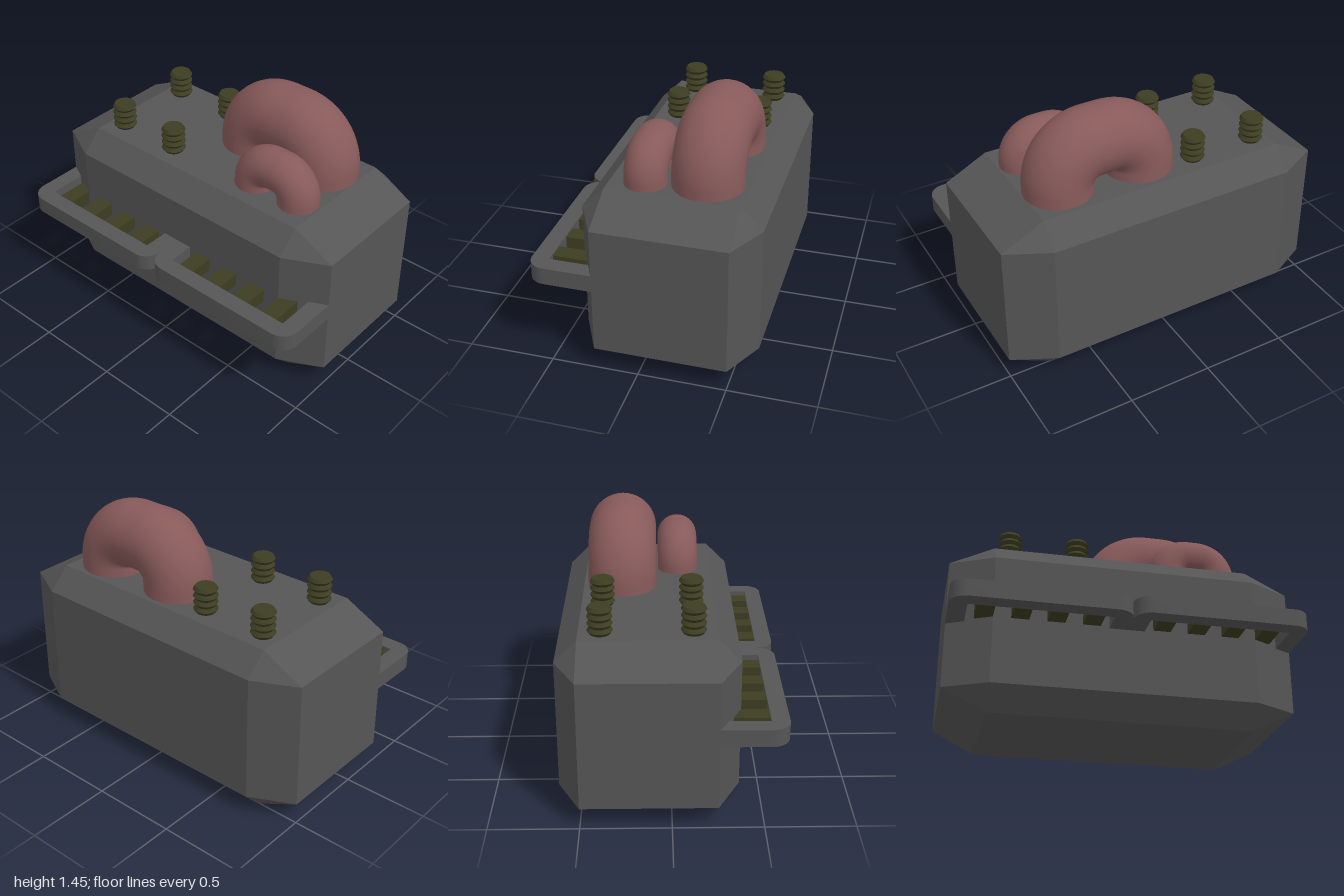
import * as THREE from 'three';
import { ConvexGeometry } from 'three/addons/geometries/ConvexGeometry.js';
import { toCreasedNormals } from 'three/addons/utils/BufferGeometryUtils.js';

const metal = new THREE.MeshStandardMaterial({ color: 0x555555 });
const olive = new THREE.MeshStandardMaterial({ color: 0x3d3d22 });
const rust = new THREE.MeshStandardMaterial({ color: 0x885a5a });

function add(parent, name, geometry, material, x = 0, y = 0, z = 0) {
  const mesh = new THREE.Mesh(geometry, material);
  mesh.name = name;
  mesh.position.set(x, y, z);
  parent.add(mesh);
  return mesh;
}

// Box with every edge bevelled: three points around each corner
function bevelledBody() {
  const points = [];
  for (const sx of [-1, 1]) for (const sy of [-1, 1]) for (const sz of [-1, 1]) {
    points.push(
      new THREE.Vector3(sx, sy * 0.375, sz * 0.375),
      new THREE.Vector3(sx * 0.75, sy * 0.5, sz * 0.375),
      new THREE.Vector3(sx * 0.75, sy * 0.375, sz * 0.5));
  }
  return new ConvexGeometry(points);
}

// U-shaped shelf frame, open towards the body, with rounded front corners
function frameGeometry() {
  const back = 0.2, front = 0.625, r = 0.1;
  const s = new THREE.Shape();
  s.moveTo(-0.5, back);
  s.lineTo(-0.4, back);
  s.lineTo(-0.4, front - 0.1);
  s.lineTo(0.4, front - 0.1);
  s.lineTo(0.4, back);
  s.lineTo(0.5, back);
  s.lineTo(0.5, front - r);
  s.absarc(0.5 - r, front - r, r, 0, Math.PI / 2, false);
  s.lineTo(-0.5 + r, front);
  s.absarc(-0.5 + r, front - r, r, Math.PI / 2, Math.PI, false);
  s.closePath();
  const g = new THREE.ExtrudeGeometry(s, { depth: 0.1, bevelEnabled: false, curveSegments: 10 });
  g.rotateX(Math.PI / 2);
  return toCreasedNormals(g, 0.5);
}

// Threaded stud with zigzag ridges
function studGeometry() {
  const profile = [new THREE.Vector2(0.055, -0.02)];
  for (let i = 0; i < 4; i++) {
    profile.push(new THREE.Vector2(0.055, i * 0.04), new THREE.Vector2(0.07, i * 0.04 + 0.02));
  }
  profile.push(new THREE.Vector2(0.058, 0.16), new THREE.Vector2(0, 0.16));
  return toCreasedNormals(new THREE.LatheGeometry(profile, 20), 0.6);
}

// Pipe loop: two legs, two quarter bends and a short straight top
function pipeLoop(r, legX, legTop) {
  const loop = new THREE.Group();
  const flat = legX - r, legHeight = legTop + 0.05;
  for (const side of [-1, 1]) {
    const leg = new THREE.CylinderGeometry(r, r, legHeight, 40, 1, true);
    add(loop, 'pipeLeg', leg, rust, side * legX, legTop - legHeight / 2, 0);
    const bend = add(loop, 'pipeBend', new THREE.TorusGeometry(r, r, 40, 20, Math.PI / 2), rust, side * flat, legTop, 0);
    if (side < 0) bend.rotation.y = Math.PI;
  }
  const top = add(loop, 'pipeTop', new THREE.CylinderGeometry(r, r, flat * 2, 40, 1, true), rust, 0, legTop + r, 0);
  top.rotation.z = Math.PI / 2;
  return loop;
}

export function createModel() {
  const model = new THREE.Group();
  model.name = 'engineBlock';
  add(model, 'body', bevelledBody(), metal, 0, 0.5, -0.125);

  // Twin front frames, each with four bars
  const frame = frameGeometry();
  const bar = new THREE.BoxGeometry(0.1, 0.08, 0.2);
  for (const x of [-0.5, 0.5]) {
    add(model, 'frontFrame', frame, metal, x, 0.6, 0);
    for (let i = 0; i < 4; i++) add(model, 'frameBar', bar, olive, x - 0.3 + i * 0.2, 0.55, 0.43);
  }

  // Studs on top
  const stud = studGeometry();
  for (const x of [-0.65, -0.25]) for (const z of [-0.38, 0.12]) add(model, 'stud', stud, olive, x, 1, z);

  // Large and small pipe loops
  const large = pipeLoop(0.2, 0.25, 0.05);
  large.name = 'largePipe';
  large.position.set(0.3, 1, -0.275);
  const small = pipeLoop(0.12, 0.15, 0.03);
  small.name = 'smallPipe';
  small.position.set(0.47, 1, 0.055);
  model.add(large, small);
  return model;
}
